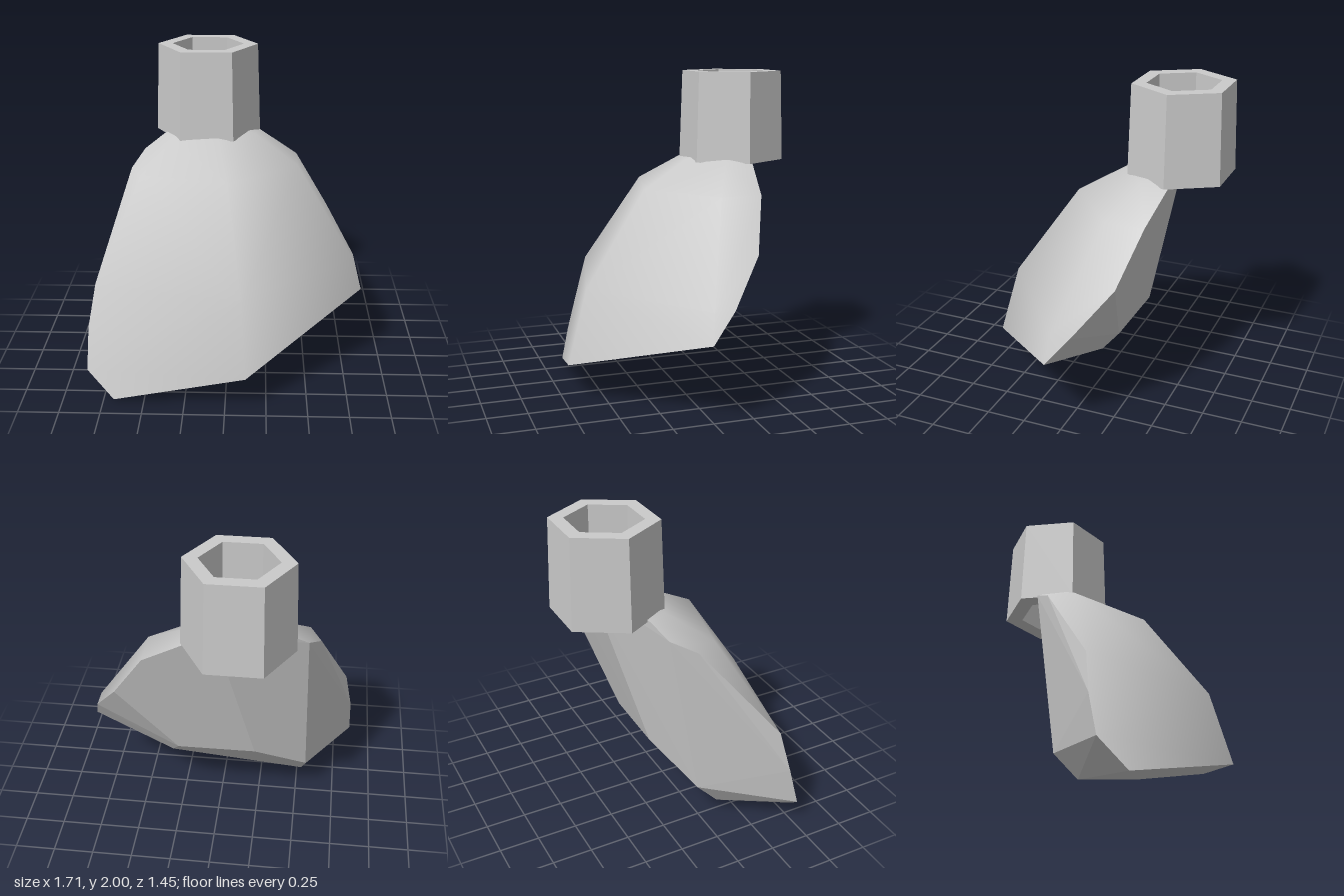
import * as THREE from 'three';
import { ConvexGeometry } from 'three/addons/geometries/ConvexGeometry.js';

const grey = new THREE.MeshStandardMaterial({ color: 0xcacaca });
grey.name = 'plain grey';

// Axis shared by the neck and the seven-sided bell
const axis = { x: -0.14, z: -0.435 };
const step = (2 * Math.PI) / 7;

// Bell profile: height, corner radius, upward tilt of the smooth normal
const profile = [[0, 1.25, 0.26], [0.69, 1.057, 0.48], [1.28, 0.642, 1.0], [1.445, 0.345, 2], [1.55, 0.01, 4]];

function profileAt(y) {
  const i = Math.max(1, profile.findIndex((p) => p[0] >= y - 1e-6));
  const [a, b] = [profile[i - 1], profile[i]];
  const t = (y - a[0]) / (b[0] - a[0]);
  return { radius: THREE.MathUtils.lerp(a[1], b[1], t), tilt: THREE.MathUtils.lerp(a[2], b[2], t) };
}

// Point on the bell at an angle (degrees, +x towards +z) and height; flat sides face 0, 51.4, 102.9...
function bell(degrees, y) {
  const a = THREE.MathUtils.degToRad(degrees);
  const fromSide = a - Math.round(a / step) * step;
  const r = (profileAt(y).radius * Math.cos(step / 2)) / Math.cos(fromSide);
  return new THREE.Vector3(axis.x + r * Math.cos(a), y, axis.z + r * Math.sin(a));
}

// Smooth bell normals on the rounded front; cut faces behind and below stay flat
function smoothFront(geometry) {
  const front = new THREE.Vector3(0.27, 0.3, 0.96).normalize();
  const { position, normal } = geometry.attributes;
  const tri = new THREE.Triangle();
  const n = new THREE.Vector3();
  for (let i = 0; i < position.count; i += 3) {
    tri.setFromAttributeAndIndices(position, i, i + 1, i + 2);
    if (tri.getNormal(n).dot(front) < 0.03) continue;
    for (let k = i; k < i + 3; k++) {
      n.set(position.getX(k) - axis.x, 0, position.getZ(k) - axis.z).normalize();
      n.y = profileAt(position.getY(k)).tilt;
      n.normalize();
      normal.setXYZ(k, n.x, n.y, n.z);
    }
  }
  return geometry;
}

// Fragment of the bell with a flat cut base and faceted back
function createBody() {
  const corner = 180 / 7;
  const points = [
    // cut base: three corners on the bell, two behind
    bell(118, 0), bell(3 * corner, 0.23), bell(corner, 0.51),
    new THREE.Vector3(0.32, 0.36, -0.10), new THREE.Vector3(-0.53, 0.09, 0.12),
    // left rim
    bell(127, 0.16), bell(5 * corner, 0.42), bell(143, 1.28), bell(153, 1.36), bell(153, 1.445),
    // right rim
    bell(19.3, 0.69), bell(9, 0.96), bell(2.5, 1.28), bell(-4.5, 1.445),
    // lower back
    new THREE.Vector3(-0.56, 0.27, -0.04), new THREE.Vector3(-0.23, 0.48, -0.21),
    new THREE.Vector3(0.27, 0.46, -0.19),
    // crown
    new THREE.Vector3(-0.01, 1.51, -0.48), new THREE.Vector3(-0.14, 1.54, -0.42),
  ];
  // vertical corners of the bell
  for (const y of [0.69, 1.28, 1.445]) {
    for (const k of [1, 3, 5]) points.push(bell(k * corner, y));
  }
  const body = new THREE.Mesh(smoothFront(new ConvexGeometry(points)), grey);
  body.name = 'body';
  return body;
}

// Hollow, slightly tapered six-sided neck
function createNeck() {
  const outline = [[0.337, 1.437], [0.318, 2], [0.228, 2], [0.228, 1.437], [0.337, 1.437]];
  const lathe = new THREE.LatheGeometry(outline.map(([r, y]) => new THREE.Vector2(r, y)), 6, Math.PI / 6);
  const geometry = lathe.toNonIndexed();
  geometry.computeVertexNormals();
  const neck = new THREE.Mesh(geometry, grey);
  neck.name = 'neck';
  neck.position.set(axis.x, 0, axis.z);
  return neck;
}

export function createModel() {
  const model = new THREE.Group();
  model.name = 'neckedShell';
  model.add(createBody(), createNeck());
  return model;
}
